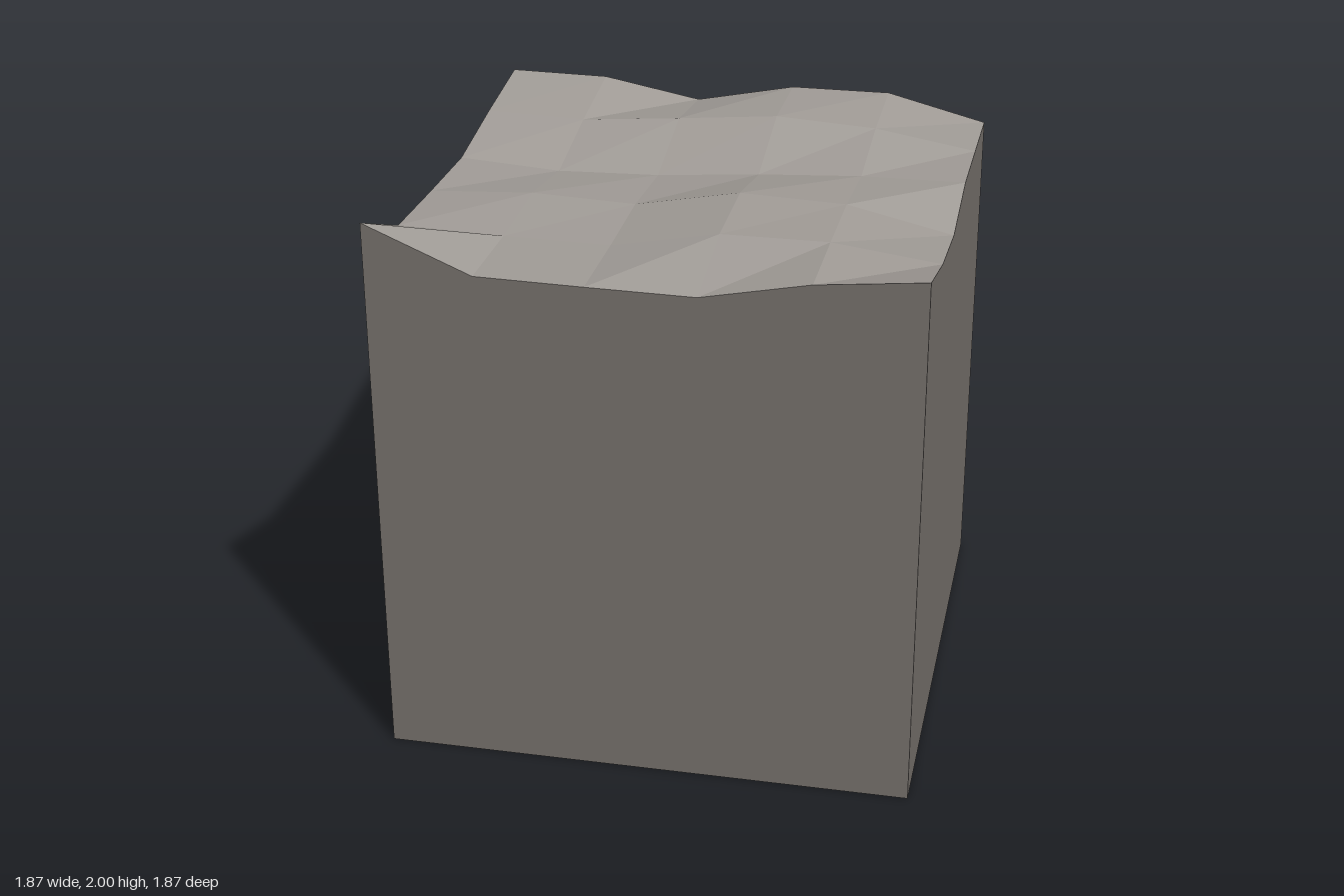
import * as THREE from 'three';

const WIDTH = 1.87;
const CELLS = 5;

// Ground heights: rows run from back to front, columns along +x
const HEIGHTS = [
  [1.945, 1.94, 1.87, 1.945, 1.945, 1.85],
  [1.895, 1.885, 1.915, 1.948, 1.925, 1.862],
  [1.835, 1.81, 1.82, 1.85, 1.87, 1.873],
  [1.84, 1.86, 1.845, 1.915, 1.9, 1.815],
  [1.85, 1.84, 1.835, 1.905, 1.905, 1.857],
  [2.0, 1.842, 1.835, 1.83, 1.905, 1.943],
];

// Uneven faceted top, a grid displaced by the heights
function topGeometry() {
  const grid = new THREE.PlaneGeometry(WIDTH, WIDTH, CELLS, CELLS).rotateX(-Math.PI / 2);
  HEIGHTS.flat().forEach((y, i) => grid.attributes.position.setY(i, y));
  const faceted = grid.toNonIndexed();
  faceted.computeVertexNormals();
  return faceted;
}

// Flat side wall whose upper edge follows a row of heights, listed left to right from outside
function wallGeometry(edge, turn) {
  const wall = new THREE.PlaneGeometry(WIDTH, 1, CELLS, 1);
  edge.forEach((y, i) => {
    wall.attributes.position.setY(i, y);
    wall.attributes.position.setY(i + CELLS + 1, 0);
  });
  return wall.translate(0, 0, WIDTH / 2).rotateY(turn);
}

export function createModel() {
  const model = new THREE.Group();
  model.name = 'terrainBlock';

  const ground = new THREE.MeshStandardMaterial({ color: 0xa19c97, side: THREE.DoubleSide });
  ground.name = 'light stone';
  const rock = new THREE.MeshStandardMaterial({ color: 0x76716c, side: THREE.DoubleSide });
  rock.name = 'dark stone';

  const add = (name, geometry, material) => {
    const mesh = new THREE.Mesh(geometry, material);
    mesh.name = name;
    model.add(mesh);
  };

  add('groundSurface', topGeometry(), ground);

  // Four walls; the underside stays open
  const column = (i) => HEIGHTS.map((row) => row[i]);
  add('frontWall', wallGeometry(HEIGHTS[CELLS], 0), rock);
  add('leftWall', wallGeometry(column(CELLS).reverse(), Math.PI / 2), rock);
  add('backWall', wallGeometry([...HEIGHTS[0]].reverse(), Math.PI), rock);
  add('rightWall', wallGeometry(column(0), -Math.PI / 2), rock);

  return model;
}
